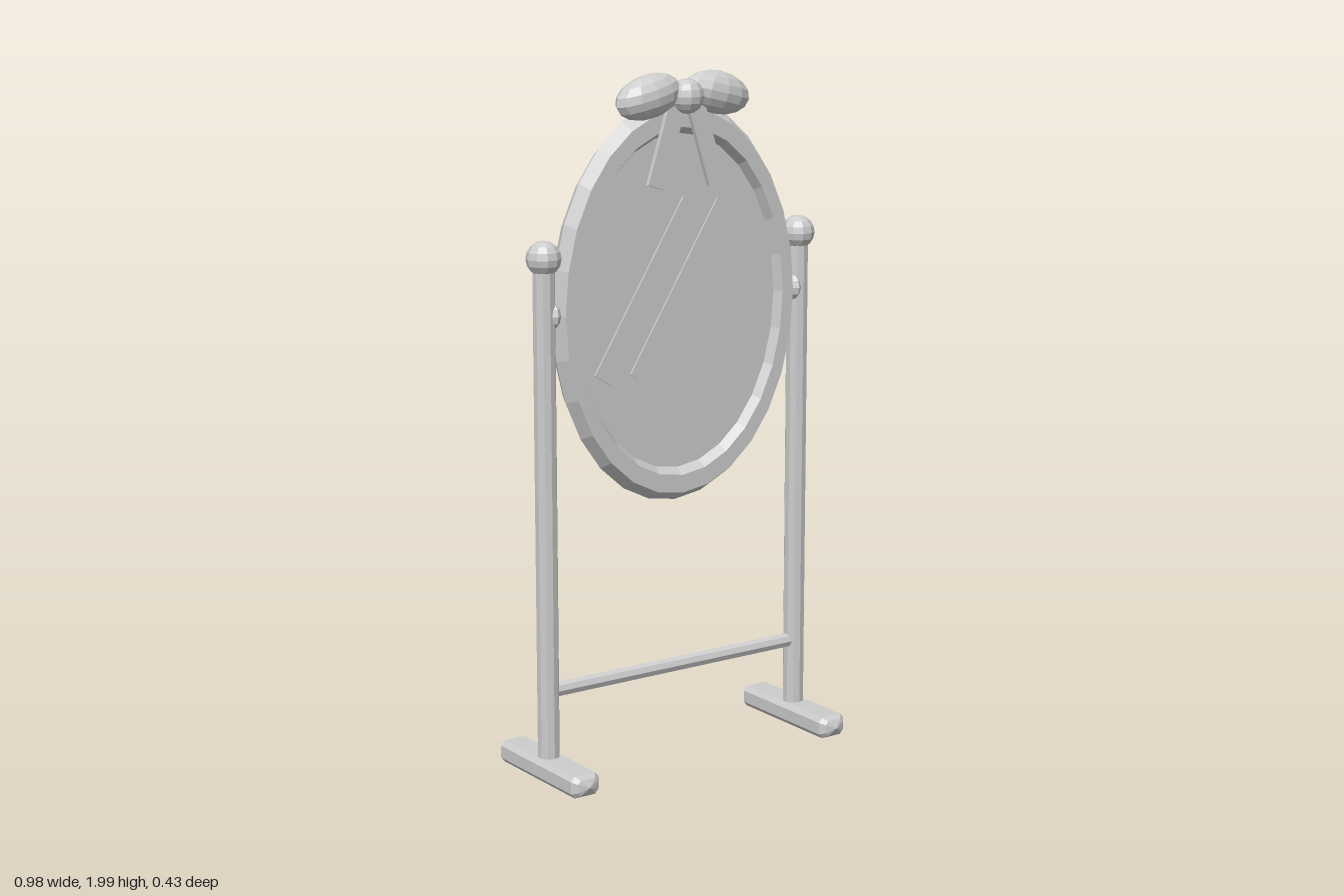
import * as THREE from 'three';

export function createModel() {
  const model = new THREE.Group();
  model.name = 'standingMirror';
  const grey = new THREE.MeshStandardMaterial({ color: 0xcccccc, flatShading: true });
  grey.name = 'pale grey';

  function add(name, geometry, x, y, z, parent = model) {
    const mesh = new THREE.Mesh(geometry, grey);
    mesh.name = name;
    mesh.position.set(x, y, z);
    parent.add(mesh);
    return mesh;
  }

  // Foot: a chamfered bar along z with shallow pointed ends
  function footGeometry() {
    const profile = [[0, -0.215], [0.7, -0.203], [1, -0.187], [1, 0.187], [0.7, 0.203], [0, 0.215]]
      .map(([r, h]) => new THREE.Vector2(r, h));
    const g = new THREE.LatheGeometry(profile, 8, Math.PI / 8);
    g.rotateX(Math.PI / 2);
    const p = g.attributes.position;
    for (let i = 0; i < p.count; i++) {
      const x = p.getX(i), y = p.getY(i);
      const r = Math.hypot(x, y);
      // widen the octagon into a rectangle with cut corners
      const sx = Math.abs(x) < 0.6 * r ? 0.034 / 0.383 : 0.046 / 0.924;
      const sy = Math.abs(y) < 0.6 * r ? 0.018 / 0.383 : 0.032 / 0.924;
      p.setXY(i, x * sx, y * sy);
    }
    g.computeVertexNormals();
    return g;
  }

  // Mirrored stand
  for (const [side, s] of [['left', 1], ['right', -1]]) {
    const stand = new THREE.Group();
    stand.name = side + 'Stand';
    model.add(stand);
    add('foot', footGeometry(), s * 0.44, 0.037, 0, stand);
    add('post', new THREE.CylinderGeometry(0.032, 0.032, 1.44, 10), s * 0.44, 0.77, 0, stand);
    add('finial', new THREE.SphereGeometry(0.05, 10, 8), s * 0.44, 1.505, 0, stand);
    add('pivotKnob', new THREE.SphereGeometry(0.04, 8, 6), s * 0.418, 1.345, 0, stand).scale.x = 0.55;
  }

  // Crossbar
  add('crossbar', new THREE.CylinderGeometry(0.022, 0.022, 0.84, 8).rotateZ(Math.PI / 2), 0, 0.263, 0);

  // Oval frame with a six-sided section, and its glass
  add('frame', new THREE.TorusGeometry(0.458, 0.046, 6, 28), 0, 1.342, 0).scale.set(0.82, 1.15, 1);
  add('glass', new THREE.CylinderGeometry(0.435, 0.435, 0.016, 28).rotateX(Math.PI / 2), 0, 1.342, 0.004)
    .scale.set(0.82, 1.15, 1);

  // Slanting glints on the glass
  for (const [x, width] of [[-0.107, 0.062], [-0.002, 0.025]]) {
    add('glint', new THREE.BoxGeometry(width, 0.568, 0.006), x, 1.385, 0.014).rotation.z = -0.56;
  }

  // Ribbon bow
  const bow = new THREE.Group();
  bow.name = 'bow';
  model.add(bow);
  for (const s of [1, -1]) {
    const loop = add('bowLoop', new THREE.SphereGeometry(1, 12, 8), s * 0.117, 1.933, 0.04, bow);
    loop.scale.set(0.109, 0.061, 0.056);
    loop.rotation.z = -s * 0.24;
    add('bowTail', new THREE.BoxGeometry(0.056, 0.25, 0.014), s * 0.066, 1.8, 0.054, bow).rotation.z = s * 0.31;
  }
  add('bowKnot', new THREE.SphereGeometry(0.05, 10, 8), 0, 1.93, 0.06, bow).scale.z = 0.9;

  return model;
}
